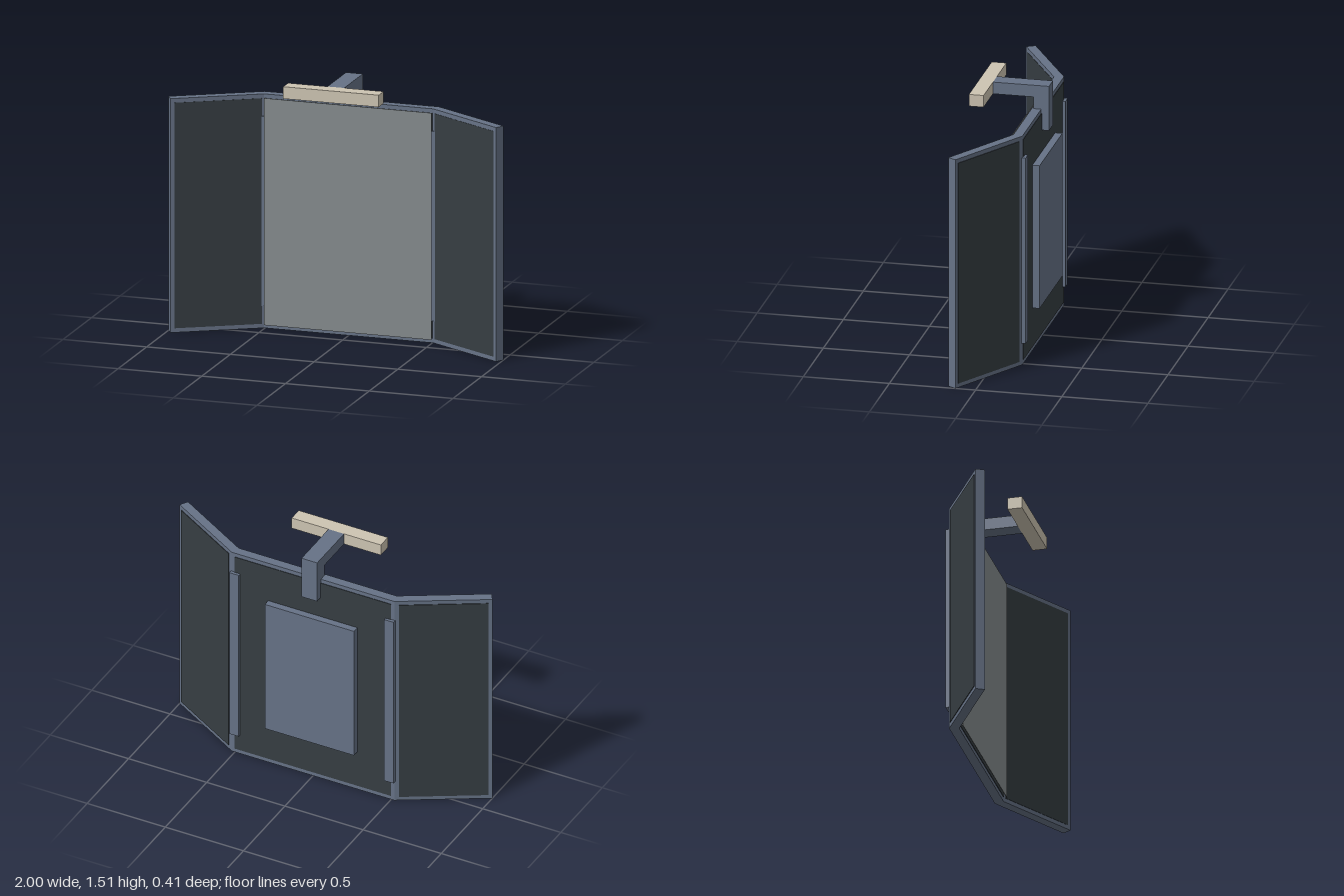
import * as THREE from 'three';

const frameMat = new THREE.MeshStandardMaterial({ color: 0x667286 });
frameMat.name = 'slate frame';
const darkMat = new THREE.MeshStandardMaterial({ color: 0x363d42 });
darkMat.name = 'charcoal panel';
const glassMat = new THREE.MeshStandardMaterial({ color: 0x858b8d });
glassMat.name = 'grey screen';
const barMat = new THREE.MeshStandardMaterial({ color: 0xcdc4b2 });
barMat.name = 'cream lamp';

// Box given by its minimum and maximum corners
function box(name, mat, [x0, y0, z0], [x1, y1, z1]) {
  const mesh = new THREE.Mesh(new THREE.BoxGeometry(x1 - x0, y1 - y0, z1 - z0), mat);
  mesh.position.set((x0 + x1) / 2, (y0 + y1) / 2, (z0 + z1) / 2);
  mesh.name = name;
  return mesh;
}

export function createModel() {
  const model = new THREE.Group();
  model.name = 'foldingMirror';
  const height = 1.37;

  // Folded frame: one plan outline (x, z) raised to full height
  const half = [[0.505, -0.105], [0.972, 0.165], [1, 0.117], [0.52, -0.16]];
  const outline = [...half, ...half.map(([x, z]) => [-x, z]).reverse()];
  const shape = new THREE.Shape(outline.map(([x, z]) => new THREE.Vector2(x, -z)));
  const frameGeo = new THREE.ExtrudeGeometry(shape, { depth: height, bevelEnabled: false });
  frameGeo.rotateX(-Math.PI / 2);
  const frame = new THREE.Mesh(frameGeo, frameMat);
  frame.name = 'foldedFrame';
  model.add(frame);

  // Dark infill, a hair proud of the frame on both faces
  model.add(box('centerPanel', darkMat, [-0.5, 0.025, -0.163], [0.5, 1.345, -0.102]));
  for (const s of [1, -1]) {
    const side = s > 0 ? 'left' : 'right';
    const wing = new THREE.Mesh(new THREE.BoxGeometry(0.505, 1.32, 0.061), darkMat);
    wing.position.set(s * 0.749, height / 2, 0.003);
    wing.rotation.y = -s * Math.PI / 6;
    wing.name = side + 'WingPanel';
    model.add(wing);

    // Long hinge at the fold
    const hinge = box(side + 'Hinge', frameMat, [-0.03, 0.13, -0.18], [0.03, 1.24, -0.095]);
    hinge.position.x = s * 0.495;
    model.add(hinge);
  }

  // Thin screen standing in front of the centre panel
  model.add(box('frontScreen', glassMat, [-0.5, 0.022, -0.089], [0.5, 1.35, -0.085]));

  // Back plate
  model.add(box('backPlate', frameMat, [-0.285, 0.26, -0.205], [0.285, 1.115, -0.16]));

  // Hooked lamp arm, drawn in side profile and extruded across x
  const arm = new THREE.Shape([
    [-0.205, 1.245], [-0.115, 1.245], [-0.115, 1.44], [0.12, 1.44], [0.12, 1.51], [-0.205, 1.51],
  ].map(([z, y]) => new THREE.Vector2(-z, y)));
  const armGeo = new THREE.ExtrudeGeometry(arm, { depth: 0.1, bevelEnabled: false });
  armGeo.translate(0, 0, -0.05).rotateY(Math.PI / 2);
  const armMesh = new THREE.Mesh(armGeo, frameMat);
  armMesh.name = 'lampArm';
  model.add(armMesh);

  // Lamp bar
  model.add(box('lampBar', barMat, [-0.285, 1.44, 0.12], [0.285, 1.51, 0.205]));
  return model;
}
